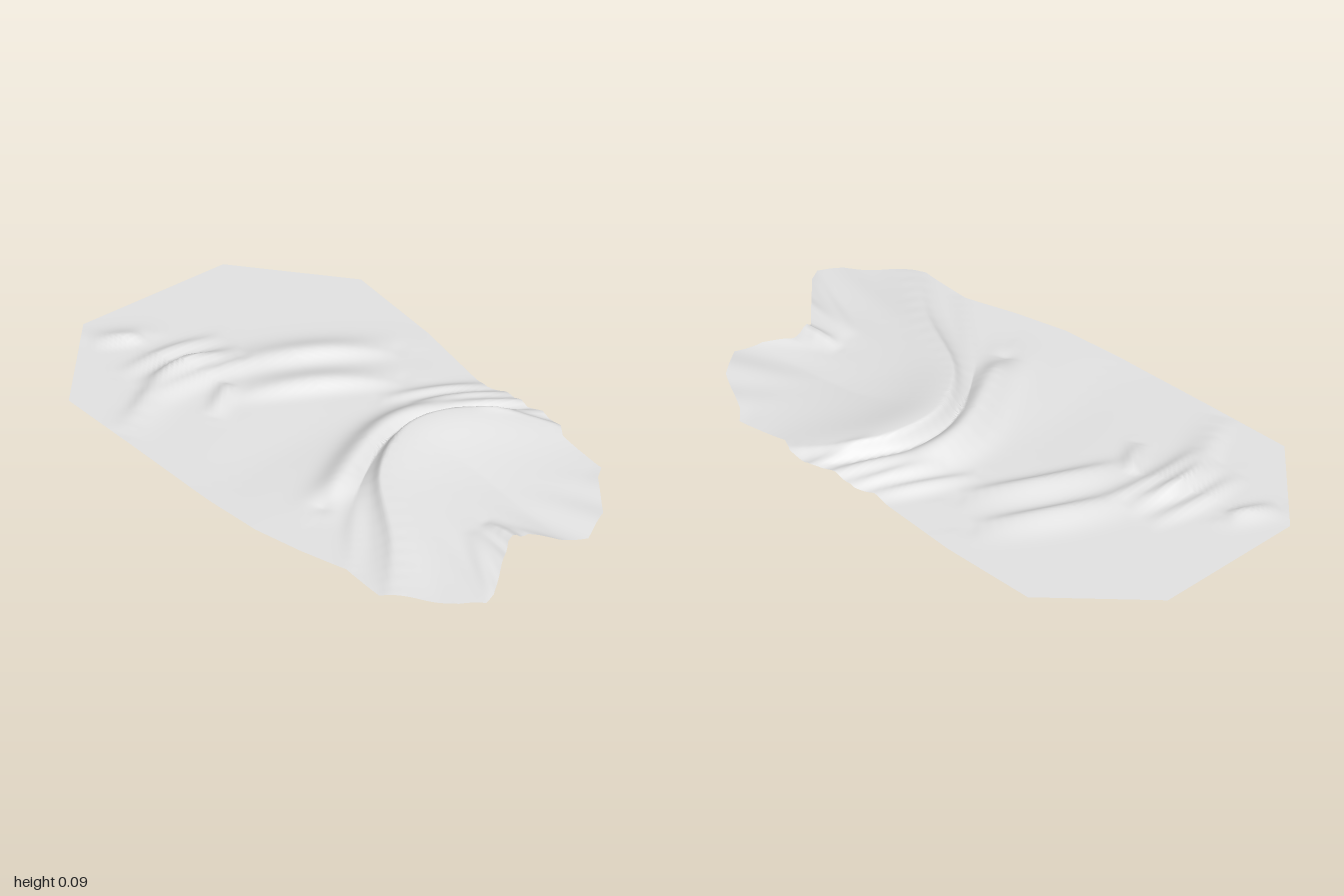
import * as THREE from 'three';

// Edge of the sheet as x, z, starting at the back left corner
const OUTLINE = [
  [-0.65, -0.57], [-0.29, -0.555], [0.07, -0.51], [0.13, -0.535], [0.25, -0.53], [0.3, -0.55], [0.4, -0.545],
  [0.45, -0.515], [0.64, -0.52], [0.68, -0.475], [0.84, -0.37], [0.91, -0.255], [0.87, -0.17], [0.8, -0.1],
  [0.8, -0.02], [0.98, 0.18], [1, 0.225], [0.95, 0.295], [0.75, 0.46], [0.57, 0.45], [0.4, 0.5],
  [0.22, 0.54], [0, 0.555], [-0.7, 0.565], [-1, 0.27], [-0.985, -0.28],
];

// A fold runs from back to front through points x, z, rising to its height
// and fading at both ends, with its own width on each side of the crest
function fold(height, left, right, points, skew = 1) {
  const curve = new THREE.CatmullRomCurve3(points.map(([x, z]) => new THREE.Vector3(x, 0, z)));
  const pts = curve.getPoints(points.length * 5);
  pts.forEach((p, i) => { p.y = height * Math.sin(Math.PI * (i / (pts.length - 1)) ** skew); });
  return { left, right, pts };
}

// Distance to the crest, crest height averaged over the nearby points, and width
function nearCrest({ left, right, pts }, x, z) {
  let best = Infinity, side = 1, sum = 0, total = 0;
  for (let i = 0; i < pts.length - 1; i++) {
    const a = pts[i], b = pts[i + 1];
    const dx = b.x - a.x, dz = b.z - a.z;
    const px = x - a.x, pz = z - a.z;
    const t = THREE.MathUtils.clamp((px * dx + pz * dz) / (dx * dx + dz * dz), 0, 1);
    const d = Math.hypot(px - t * dx, pz - t * dz);
    const weight = 1 / (d * d + 1e-4) ** 2;
    sum += weight * (a.y + (b.y - a.y) * t);
    total += weight;
    if (d < best) {
      best = d;
      side = px * dz - pz * dx;
    }
  }
  return { d: best, height: sum / total, width: side > 0 ? right : left };
}

const bell = (d, width) => Math.exp(-((d / width) ** 2));

function foldHeight(f, x, z) {
  const { d, height, width } = nearCrest(f, x, z);
  return height * bell(d, width);
}

// The swell drops quickly behind its crest, then levels into a broad slope
function swellHeight(x, z) {
  const { d, height, width } = nearCrest(swell, x, z);
  return height * (0.3 * bell(d, width / 3) + 0.7 * bell(d, width));
}

// The large swell with its steep left face, and the step beside it
const swell = fold(0.088, 0.06, 0.4, [
  [0.55, -0.62], [0.3, -0.46], [0.18, -0.3], [0.16, -0.12], [0.28, 0.08], [0.58, 0.27], [0.85, 0.5],
], 0.85);
const step = fold(0.06, 0.07, 0.06, [[0.32, -0.62], [0.1, -0.32], [0.07, -0.12], [0.21, 0.2], [0.26, 0.3]]);

// Small wrinkles, in families of near-parallel folds
const wrinkles = [
  fold(0.028, 0.03, 0.07, [[-0.55, 0], [-0.61, 0.2], [-0.46, 0.55]]),
  fold(0.022, 0.05, 0.02, [[-0.82, 0.17], [-0.9, 0.32]]),
  fold(0.022, 0.03, 0.03, [[-0.45, 0.12], [-0.35, 0.26]]),
  fold(0.012, 0.03, 0.04, [[0.2, 0.1], [0.36, 0.25], [0.6, 0.45]]),
  fold(-0.007, 0.15, 0.12, [[-0.12, -0.15], [-0.08, 0.2], [0, 0.6]]),
  fold(0.03, 0.025, 0.025, [[0.95, -0.05], [0.66, -0.03]]),
];
for (let i = 0; i < 3; i++) {
  const x = -0.53 - 0.09 * i;
  wrinkles.push(fold(0.02, 0.025, 0.035, [[x + 0.04, -0.04], [x, 0.16], [x, 0.36]]));
}
for (let i = 0; i < 2; i++) {
  const x = -0.14 * i, z = -0.09 * i;
  wrinkles.push(fold(0.03, 0.07, 0.035, [[x - 0.13, z - 0.33], [x - 0.28, z - 0.1], [x - 0.41, z + 0.18]]));
}
for (let i = 0; i < 4; i++) {
  const x = 0.1 * i, z = -0.05 * i;
  wrinkles.push(fold(0.02, 0.03, 0.025, [[x + 0.1, z - 0.57], [x, z - 0.4], [x - 0.1, z - 0.2]]));
}
for (const angle of [-0.45, -0.22, 0.22, 0.45]) {
  const dx = Math.cos(angle), dz = Math.sin(angle);
  wrinkles.push(fold(0.014, 0.03, 0.03, [[0.6 + 0.45 * dx, 0.45 * dz], [0.6 + 0.08 * dx, 0.08 * dz]]));
}

function surfaceHeight(x, z) {
  // Fine ruffles along the right-hand end
  const ruffle = 0.005 * Math.sin(30 * Math.atan2(z, x)) * THREE.MathUtils.smoothstep(x, 0.55, 0.9);
  let y = 0.011 + ruffle + Math.max(swellHeight(x, z), foldHeight(step, x, z));
  for (const w of wrinkles) y += foldHeight(w, x, z);
  return Math.max(0, y);
}

// Rings of vertices run from the middle out to the edge
function sheetGeometry() {
  const edge = [];
  OUTLINE.forEach(([x, z], i) => {
    const [nx, nz] = OUTLINE[(i + 1) % OUTLINE.length];
    const steps = Math.ceil(Math.hypot(nx - x, nz - z) / 0.018);
    for (let s = 0; s < steps; s++) edge.push([x + ((nx - x) * s) / steps, z + ((nz - z) * s) / steps]);
  });
  const rings = 64, n = edge.length, cx = 0.1;
  const positions = [cx, surfaceHeight(cx, 0), 0], index = [];
  for (let r = 1; r <= rings; r++) {
    for (const [ex, ez] of edge) {
      const x = cx + ((ex - cx) * r) / rings, z = (ez * r) / rings;
      positions.push(x, surfaceHeight(x, z), z);
    }
  }
  for (let i = 0; i < n; i++) {
    const j = (i + 1) % n;
    index.push(0, 1 + j, 1 + i);
    for (let r = 0; r < rings - 1; r++) {
      const a = 1 + r * n + i, b = 1 + r * n + j;
      index.push(a, b, b + n, a, b + n, a + n);
    }
  }
  const geometry = new THREE.BufferGeometry();
  geometry.setAttribute('position', new THREE.Float32BufferAttribute(positions, 3));
  geometry.setIndex(index);
  geometry.computeVertexNormals();
  return geometry;
}

export function createModel() {
  const group = new THREE.Group();
  group.name = 'rumpledSheet';
  const material = new THREE.MeshStandardMaterial({ color: 0xe2e2e2, side: THREE.DoubleSide });
  material.name = 'light grey';
  const sheet = new THREE.Mesh(sheetGeometry(), material);
  sheet.name = 'foldedSurface';
  group.add(sheet);
  return group;
}
